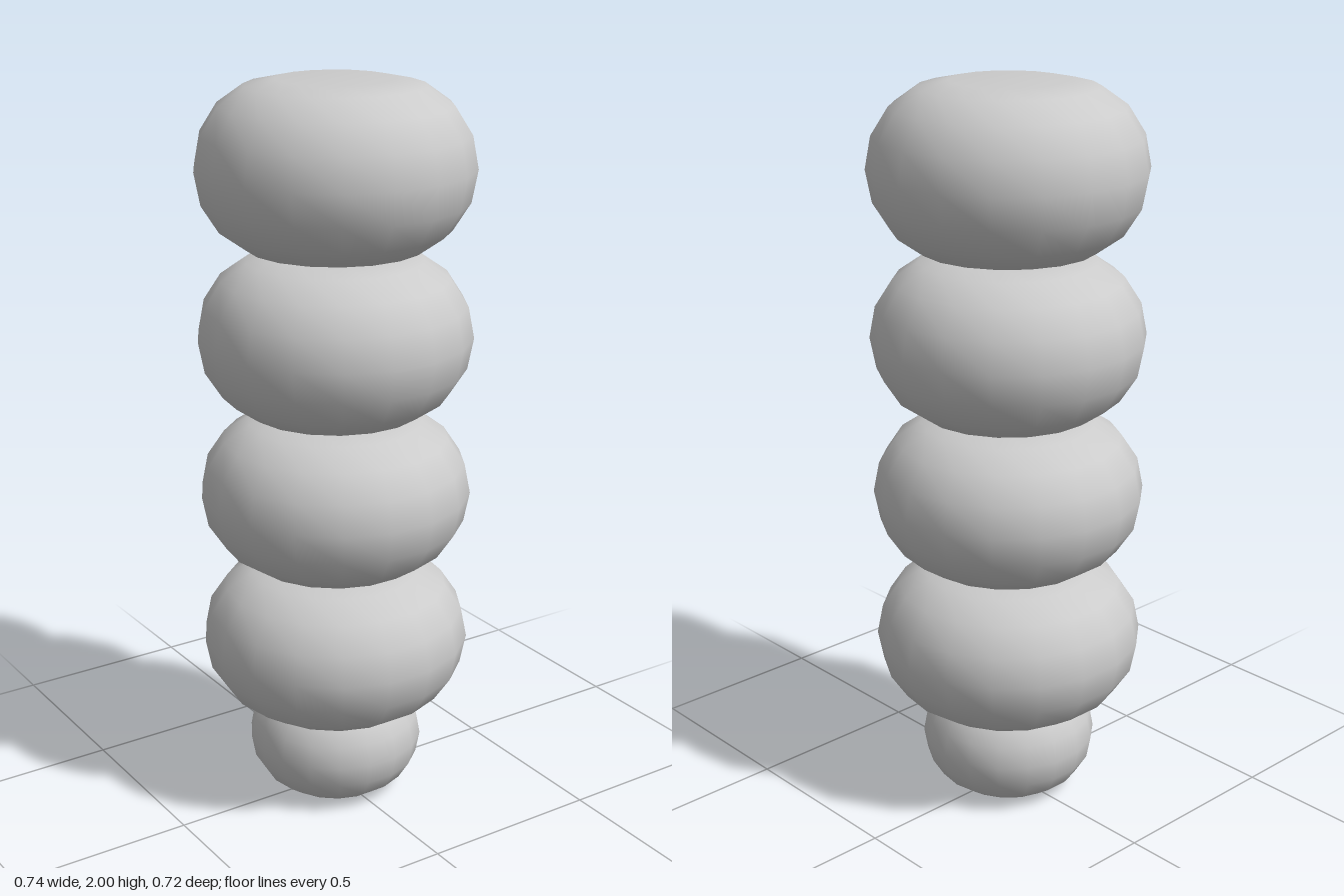
import * as THREE from 'three';

const material = new THREE.MeshStandardMaterial({ color: 0xcccccc });

// Flattened bead: a flat cap at each end joined by a rounded side, 18 sides around
function bead(name, radius, cap, bottom, top) {
  const points = [new THREE.Vector2(0, bottom)];
  const steps = 8;
  const half = (top - bottom) / 2;
  for (let i = 0; i <= steps; i++) {
    const a = -Math.PI / 2 + (Math.PI * i) / steps;
    points.push(new THREE.Vector2(
      cap + (radius - cap) * Math.cos(a),
      bottom + half + half * Math.sin(a)
    ));
  }
  points.push(new THREE.Vector2(0, top));
  const mesh = new THREE.Mesh(new THREE.LatheGeometry(points, 18, Math.PI / 2), material);
  mesh.name = name;
  return mesh;
}

export function createModel() {
  const group = new THREE.Group();
  group.name = 'beadStack';

  // Small foot bead, its top sunk into the bead above
  group.add(bead('footBead', 0.243, 0.1, 0, 0.31));

  // Four large beads resting on one another
  const levels = [0.255, 0.68, 1.108, 1.55, 2];
  for (let i = 0; i < 4; i++) {
    group.add(bead('largeBead' + (i + 1), 0.368, 0.155, levels[i], levels[i + 1]));
  }
  return group;
}
